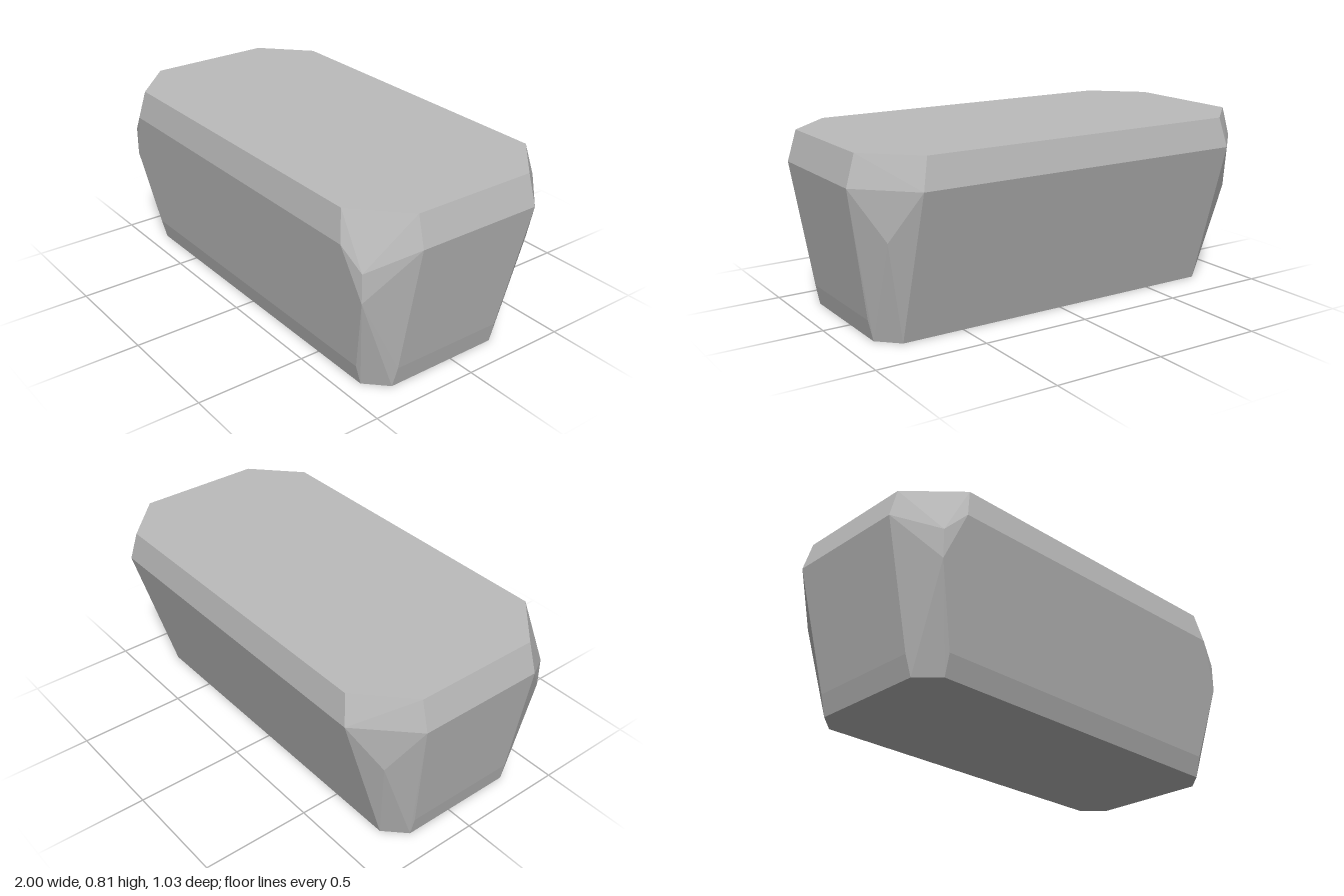
import * as THREE from 'three';
import { ConvexGeometry } from 'three/addons/geometries/ConvexGeometry.js';

// Corner points of the +x half; the block is symmetric about x = 0.
const halfPoints = [
  // top octagon
  [0.75, 0.81, 0.49], [0.96, 0.81, 0.29], [0.96, 0.81, -0.29], [0.75, 0.81, -0.49],
  // widest belt
  [0.78, 0.675, 0.515], [1, 0.675, 0.295], [1, 0.675, -0.295], [0.78, 0.675, -0.515],
  // short upright edge at the front corner, single peak at the back corner
  [0.875, 0.58, 0.485], [0.875, 0.45, 0.485], [0.88, 0.46, -0.395],
  // low bevel
  [0.785, 0.095, 0.435], [0.897, 0.095, 0.31], [0.897, 0.095, -0.225],
  // base
  [0.785, 0, 0.41], [0.875, 0, 0.32], [0.875, 0, -0.225], [0.785, 0, -0.315],
];

export function createModel() {
  const group = new THREE.Group();
  group.name = 'bevelledBlock';

  const grey = new THREE.MeshStandardMaterial({ color: 0xbbbbbb });
  grey.name = 'stone grey';

  // Faceted body: the convex shell of both mirrored halves
  const points = halfPoints.flatMap(([x, y, z]) => [
    new THREE.Vector3(x, y, z),
    new THREE.Vector3(-x, y, z),
  ]);
  const body = new THREE.Mesh(new ConvexGeometry(points), grey);
  body.name = 'body';
  group.add(body);

  return group;
}
